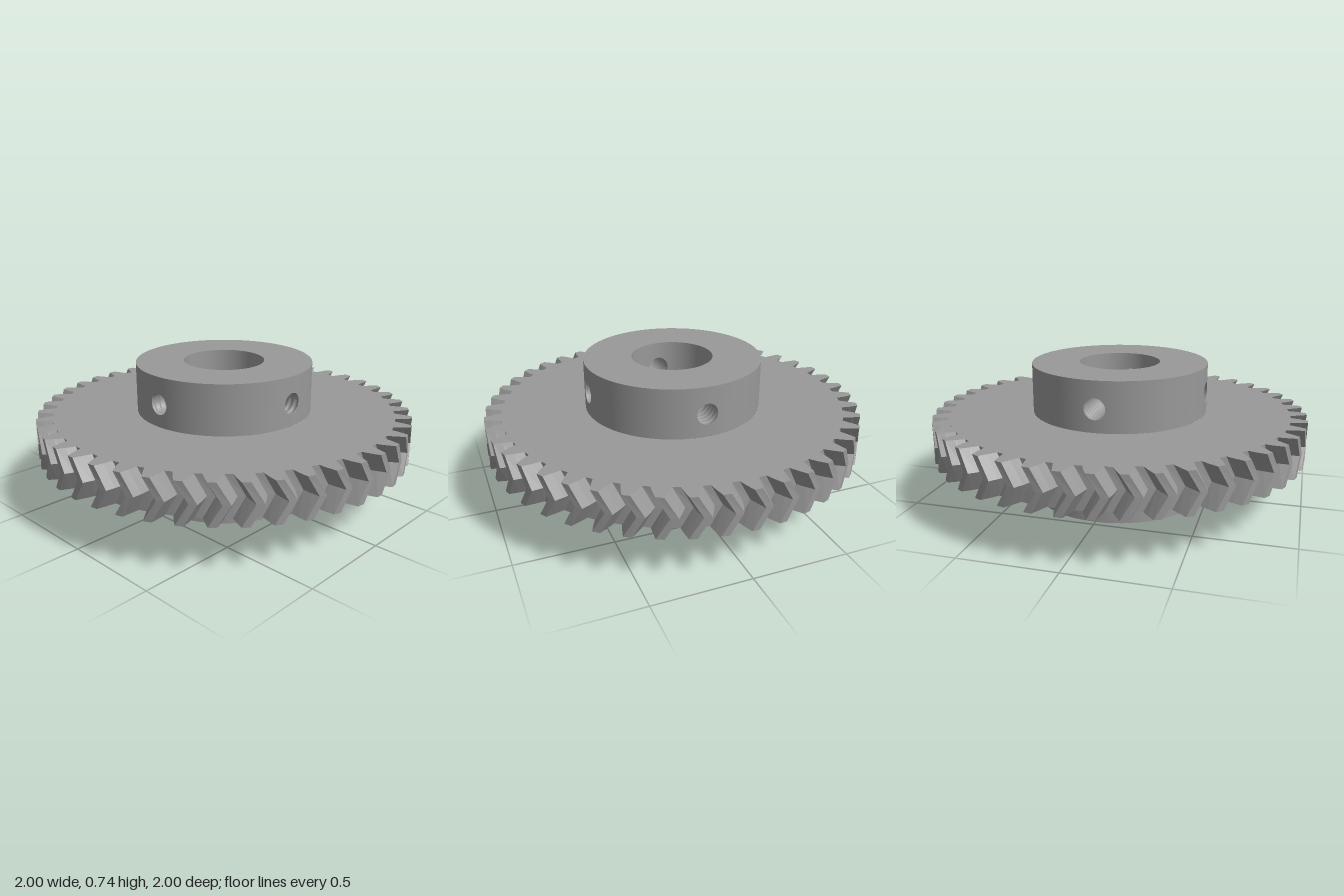
import * as THREE from 'three';

const MID = 0.3675;                       // mid height of the whole part
const HUB = { r: 0.47, bore: 0.215, half: 0.3675 };
const GEAR = { teeth: 44, root: 0.913, pitch: 0.957, tip: 1, half: 0.105, twist: 0.062 };
const SCREW = { r: 0.055, offset: 0.225, depth: 0.008, turns: 8 };
const SIDE = 16;                          // segments along a quarter of the hub

// Surface from a rule fn(i, j) giving a point on a rows x cols grid
function grid(rows, cols, fn, flip = false) {
  const pos = [], index = [];
  for (let i = 0; i <= rows; i++)
    for (let j = 0; j <= cols; j++) pos.push(...fn(i, j));
  for (let i = 0; i < rows; i++)
    for (let j = 0; j < cols; j++) {
      const a = i * (cols + 1) + j, b = a + cols + 1;
      if (flip) index.push(a, a + 1, b, b, a + 1, b + 1);
      else index.push(a, b, a + 1, b, b + 1, a + 1);
    }
  const g = new THREE.BufferGeometry();
  g.setAttribute('position', new THREE.Float32BufferAttribute(pos, 3));
  g.setIndex(index);
  g.computeVertexNormals();
  return g;
}

// Quarter of a cylinder wall, spreading from the screw hole to the patch border
function wallWithHole(radius, y0, y1, holeY, inward) {
  const n = SIDE * 4, steps = 10;
  const g = grid(steps, n, (i, j) => {
    const s = i / steps, phi = -Math.PI / 4 + (j / n) * Math.PI * 2;
    const side = Math.floor(j / SIDE) % 4, f = ((j % SIDE) / SIDE) * 2 - 1;
    const [u, v] = [[1, f], [-f, 1], [-1, -f], [f, -1]][side];
    const a0 = Math.asin(SCREW.r * Math.cos(phi) / radius);
    const a = THREE.MathUtils.lerp(a0, u * Math.PI / 4, s);
    const y = THREE.MathUtils.lerp(holeY + SCREW.r * Math.sin(phi), (y0 + y1) / 2 + v * (y1 - y0) / 2, s);
    return [radius * Math.sin(a), y, radius * Math.cos(a)];
  }, inward);
  // true radial normals keep the wall smooth across patches
  const p = g.attributes.position, d = inward ? -1 / radius : 1 / radius;
  for (let k = 0; k < p.count; k++) g.attributes.normal.setXYZ(k, p.getX(k) * d, 0, p.getZ(k) * d);
  return g;
}

// Threaded tunnel from the outer wall to the bore
function threadedHole(holeY) {
  const rows = SCREW.turns * 6, cols = 32;
  return grid(rows, cols, (i, j) => {
    const s = i / rows, t = j / cols, phi = t * Math.PI * 2;
    const w = (((s * SCREW.turns + t) % 1) + 1) % 1;
    const groove = i === 0 || i === rows ? 0 : 1 - Math.abs(2 * w - 1);
    const r = SCREW.r + SCREW.depth * groove, x = r * Math.cos(phi);
    const zOut = Math.sqrt(HUB.r ** 2 - x * x), zIn = Math.sqrt(HUB.bore ** 2 - x * x);
    return [x, holeY + r * Math.sin(phi), THREE.MathUtils.lerp(zOut, zIn, s)];
  }, true);
}

// Outline of the toothed wheel as [radius, angle] pairs
function toothProfile() {
  const pts = [], step = (Math.PI * 2) / GEAR.teeth;
  const half = [[GEAR.root, 0.051], [GEAR.pitch, 0.0357], [GEAR.tip, 0.019]];
  for (let k = 0; k < GEAR.teeth; k++) {
    for (const [r, a] of half) pts.push([r, k * step - a]);
    for (const [r, a] of [...half].reverse()) pts.push([r, k * step + a]);
  }
  return pts;
}

export function createModel() {
  const model = new THREE.Group();
  const steel = new THREE.MeshStandardMaterial({ color: 0x999999 });
  steel.name = 'grey steel';
  const add = (parent, name, geometry, y = 0) => {
    const mesh = new THREE.Mesh(geometry, steel);
    mesh.name = name;
    mesh.position.y = y;
    parent.add(mesh);
    return mesh;
  };

  // Herringbone wheel: the teeth twist towards the middle and back
  const wheel = new THREE.Group();
  wheel.name = 'herringboneWheel';
  model.add(wheel);
  const profile = toothProfile();
  const teeth = grid(2, profile.length, (i, j) => {
    const [r, a] = profile[j % profile.length];
    const t = a + (i === 1 ? GEAR.twist : 0);
    return [r * Math.cos(t), (i - 1) * GEAR.half, -r * Math.sin(t)];
  }, true).toNonIndexed();
  teeth.computeVertexNormals();
  add(wheel, 'teeth', teeth, MID);

  const face = new THREE.Shape(profile.map(([r, a]) => new THREE.Vector2(r * Math.cos(a), r * Math.sin(a))));
  face.holes.push(new THREE.Path().absarc(0, 0, HUB.r, 0, Math.PI * 2, true));
  const faceGeometry = new THREE.ShapeGeometry(face, SIDE * 4);
  const ring = new THREE.RingGeometry(HUB.bore, HUB.r, SIDE * 4);

  // Hub: both ends share the same ring, wheel face and four screw holes
  const hub = new THREE.Group();
  hub.name = 'hub';
  model.add(hub);
  for (const end of [-1, 1]) {
    const label = end > 0 ? 'upper' : 'lower';
    add(wheel, label + 'WheelFace', faceGeometry.clone().rotateX(-end * Math.PI / 2), MID + end * GEAR.half);
    add(hub, label + 'HubFace', ring.clone().rotateX(-end * Math.PI / 2), MID + end * HUB.half);

    const holeY = MID + end * SCREW.offset;
    const span = (from) => [MID + end * from, MID + end * HUB.half].sort((a, b) => a - b);
    const parts = {
      HubWall: wallWithHole(HUB.r, ...span(GEAR.half), holeY, false),
      BoreWall: wallWithHole(HUB.bore, ...span(0), holeY, true),
      ScrewHole: threadedHole(holeY),
    };
    for (let q = 0; q < 4; q++)
      for (const [name, geometry] of Object.entries(parts))
        add(hub, label + name, geometry).rotation.y = q * Math.PI / 2;
  }
  return model;
}
